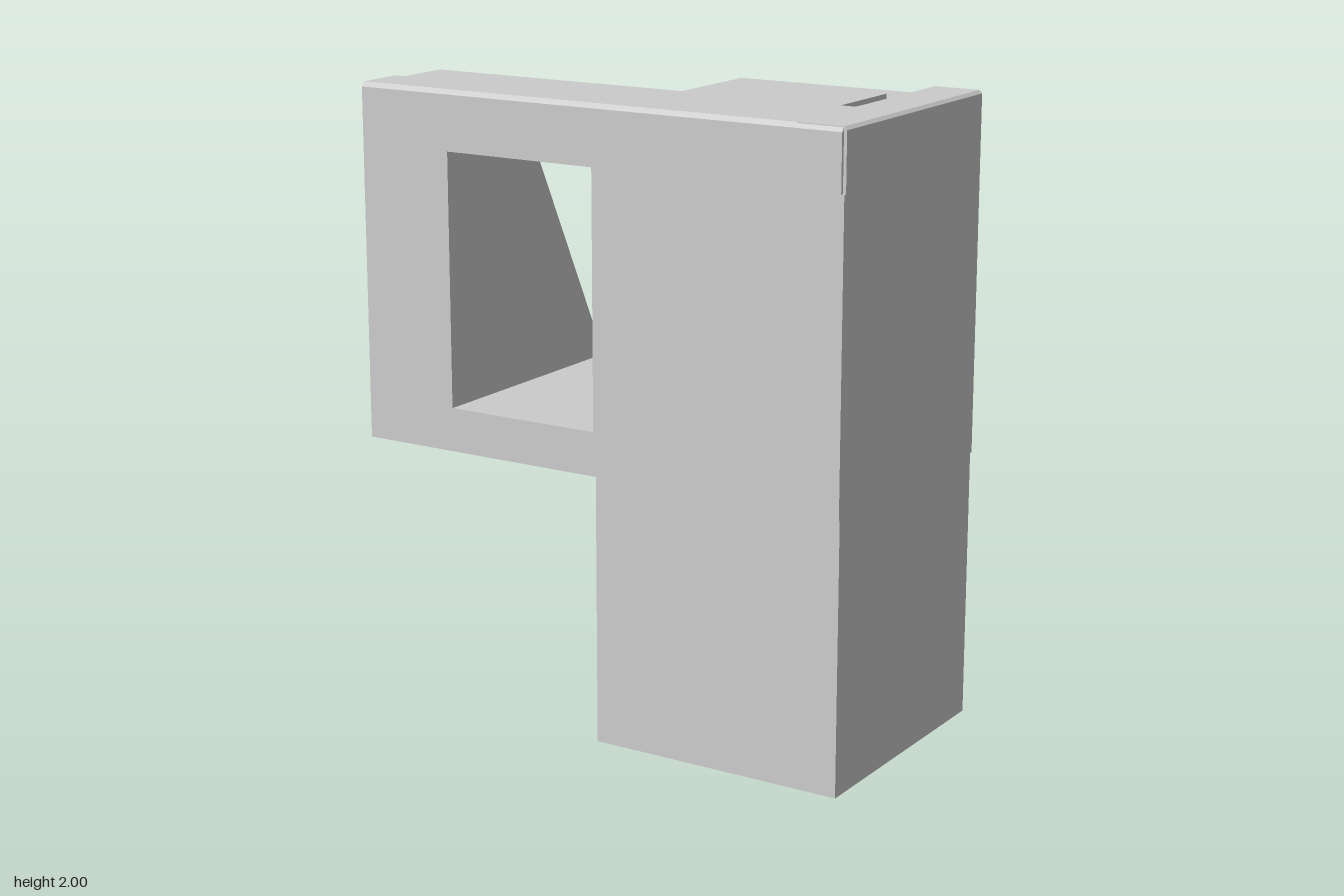
import * as THREE from 'three';

export function createModel() {
  const model = new THREE.Group();
  const mat = new THREE.MeshStandardMaterial({ color: 0xcccccc, flatShading: true });
  const openMat = new THREE.MeshStandardMaterial({ color: 0xcccccc, flatShading: true, side: THREE.DoubleSide });

  function add(name, geometry, parent = model, material = mat) {
    const mesh = new THREE.Mesh(geometry, material);
    mesh.name = name;
    parent.add(mesh);
    return mesh;
  }
  // Box given by its limits on each axis
  function box(name, x0, x1, y0, y1, z0, z1, parent) {
    const g = new THREE.BoxGeometry(x1 - x0, y1 - y0, z1 - z0);
    g.translate((x0 + x1) / 2, (y0 + y1) / 2, (z0 + z1) / 2);
    return add(name, g, parent);
  }
  function extrude(points, depth) {
    const shape = new THREE.Shape(points.map(([a, b]) => new THREE.Vector2(a, b)));
    return new THREE.ExtrudeGeometry(shape, { depth, bevelEnabled: false });
  }
  // Side profile of [z, y] points, swept from x0 to x1
  function sideProfile(name, points, x0, x1) {
    return add(name, extrude(points, x1 - x0).rotateY(-Math.PI / 2).translate(x1, 0, 0));
  }

  // Lower chamber: two walls, open at the back and at one side
  box('chamberFrontWall', 0.005, 0.85, 0, 0.86, 0.23, 0.425);
  box('chamberSideWall', 0.66, 0.85, 0, 0.86, -0.42, 0.23);

  // Bed of spikes on the chamber floor
  const spikes = new THREE.Group();
  spikes.name = 'spikeBed';
  model.add(spikes);
  const pitch = 0.164;
  for (let i = 0; i < 4; i++) {
    for (let j = 0; j < 4; j++) {
      const g = new THREE.ConeGeometry(pitch / Math.SQRT2, 0.3, 4, 1, true).rotateY(Math.PI / 4);
      g.translate(0.005 + (i + 0.5) * pitch, 0.15, -0.425 + (j + 0.5) * pitch);
      add('spike', g, spikes, openMat);
    }
  }

  // Upper tower with a hopper cut into its back
  box('towerBlock', 0, 0.85, 0.86, 1.28, -0.43, 0.43);
  add('hopperSideWall', extrude([[0.32, 1.28], [0.85, 1.28], [0.85, 1.99], [0.84, 2], [0.69, 2]], 0.85)
    .translate(0, 0, -0.43));
  sideProfile('hopperFrontWall', [[-0.12, 1.28], [0.43, 1.28], [0.43, 1.81], [0.14, 1.81]], 0, 0.85);

  // Roof beam over tower and side arm
  sideProfile('roofBeam',
    [[-0.01, 1.81], [0.43, 1.81], [0.43, 1.985], [0.418, 2], [0.075, 2]], -0.82, 0.84);

  // Side arm: shelf, sloping pillar and recessed end wall around the window
  box('armShelf', -0.855, 0, 0.86, 1, -0.43, 0.43);
  sideProfile('armPillar', [[-0.42, 1], [0.43, 1], [0.43, 1.81], [-0.01, 1.81]], -0.76, -0.53);
  sideProfile('armEndWall',
    [[-0.265, 1], [0.43, 1], [0.43, 1.985], [0.418, 2], [0.26, 2]], -0.855, -0.76);

  // Ceiling sheet and raised plate above the hopper
  box('ceilingSheet', 0, 0.69, 1.965, 1.975, -0.43, 0.1);
  box('raisedPlate', 0.21, 0.64, 1.97, 2, -0.21, 0.1);

  // Hanging tool: faceted mount, body, collar and prongs
  const tool = new THREE.Group();
  tool.name = 'hangingTool';
  tool.position.set(0.4, 0, -0.04);
  model.add(tool);
  const stages = [
    ['toolMount', 0.26, 0.26, 1.97, 1.86],
    ['toolMountTaper', 0.26, 0.16, 1.86, 1.77],
    ['toolBody', 0.14, 0.14, 1.77, 1.59],
    ['toolBodyTaper', 0.14, 0.1, 1.59, 1.54],
    ['toolCollar', 0.14, 0.09, 1.54, 1.45],
  ];
  for (const [name, rTop, rBottom, top, bottom] of stages) {
    const g = new THREE.CylinderGeometry(rTop, rBottom, top - bottom, 8).rotateY(Math.PI / 8);
    add(name, g.translate(0, (top + bottom) / 2, 0), tool);
  }
  for (let i = 0; i < 3; i++) {
    const a = Math.PI + i * Math.PI * 2 / 3;
    const g = new THREE.CylinderGeometry(0.025, 0.008, 0.14, 6);
    add('toolProng', g.translate(0.05 * Math.cos(a), 1.39, 0.05 * Math.sin(a)), tool);
  }

  // Small post with corner columns on the hopper floor
  const post = new THREE.Group();
  post.name = 'post';
  post.position.set(0.08, 1.28, -0.35);
  model.add(post);
  box('postCore', -0.032, 0.032, 0, 0.3, -0.032, 0.032, post);
  for (const sx of [-1, 1]) {
    for (const sz of [-1, 1]) {
      const g = new THREE.BoxGeometry(0.03, 0.22, 0.03);
      add('postColumn', g.translate(sx * 0.032, 0.11, sz * 0.032), post);
    }
  }

  return model;
}
